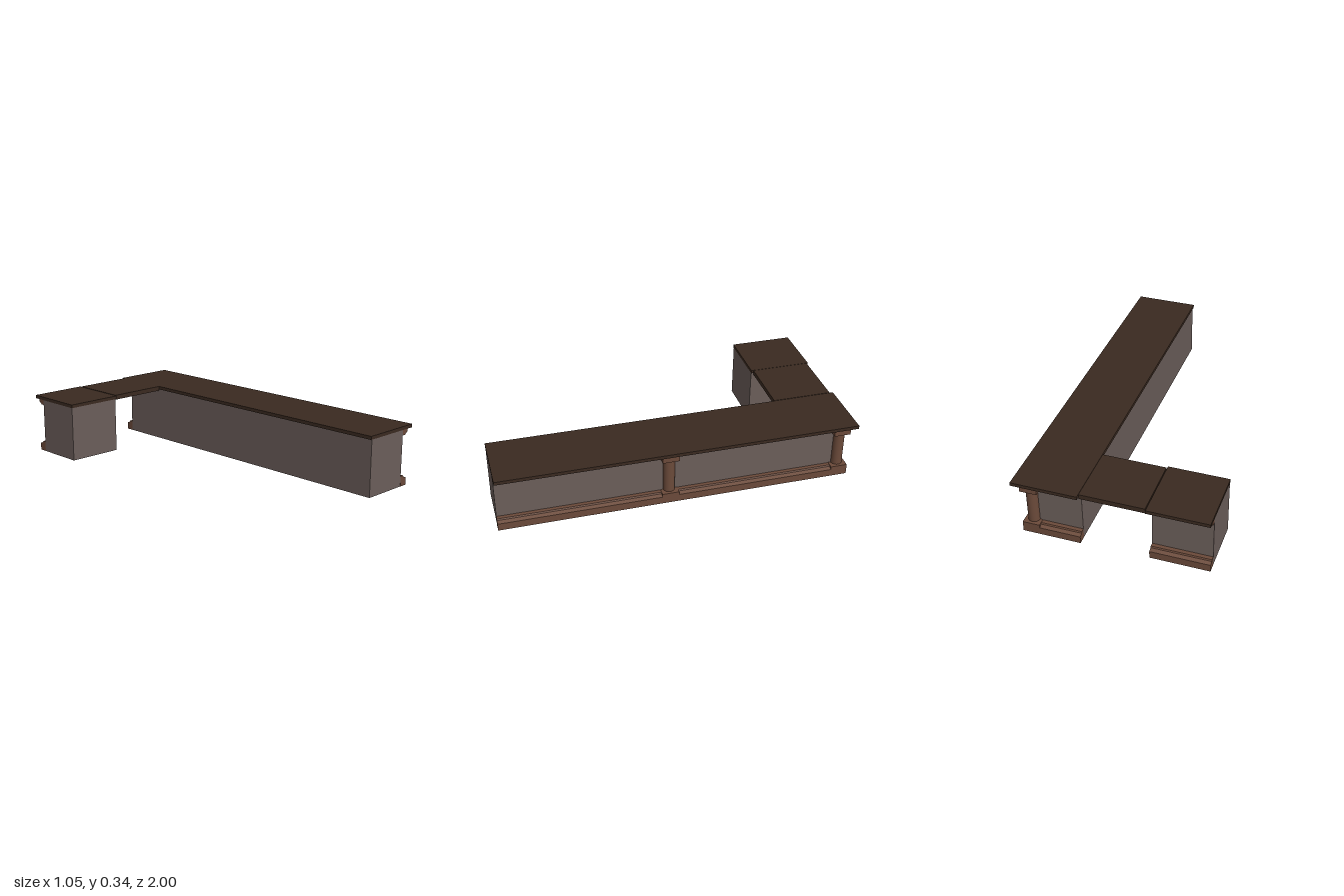
import * as THREE from 'three';

const material = (color, side = THREE.FrontSide) => new THREE.MeshStandardMaterial({ color, side });
const topWood = material(0x3a2a20);
const trimWood = material(0x6b4a3a);
const panel = material(0x6b5e5a, THREE.DoubleSide);

// Trim profiles: x is the distance out from the wall, y is height
const baseProfile = [[0, 0], [0.047, 0], [0.047, 0.042], [0.026, 0.05], [0.022, 0.058], [0, 0.058]];
const crownProfile = [[0, 0.288], [0.02, 0.288], [0.042, 0.305], [0.042, 0.318], [0, 0.318]];

export function createModel() {
  const root = new THREE.Group();

  const add = (parent, name, geometry, mat) => {
    const mesh = new THREE.Mesh(geometry, mat);
    mesh.name = name;
    parent.add(mesh);
    return mesh;
  };

  // Box given by its limits on each axis
  const box = (parent, name, mat, [x0, x1], [y0, y1], [z0, z1]) => {
    const g = new THREE.BoxGeometry(x1 - x0, y1 - y0, z1 - z0);
    g.translate((x0 + x1) / 2, (y0 + y1) / 2, (z0 + z1) / 2);
    return add(parent, name, g, mat);
  };

  // Four thin walls, open above and below
  const walls = (parent, name, xs, zs) => {
    const mesh = box(parent, name, panel, xs, [0, 0.318], zs);
    const g = mesh.geometry;
    const index = Array.from(g.index.array);
    g.setIndex([...index.slice(0, 12), ...index.slice(24)]);
    g.clearGroups();
  };

  // Base and crown moulding along one wall, facing +x before turning
  const mouldings = (parent, name, length, x, z, turn) => {
    for (const [part, profile] of [['Base', baseProfile], ['Crown', crownProfile]]) {
      const shape = new THREE.Shape(profile.map(([px, py]) => new THREE.Vector2(px, py)));
      const g = new THREE.ExtrudeGeometry(shape, { depth: length, bevelEnabled: false });
      const mesh = add(parent, name + part + 'Moulding', g, trimWood);
      mesh.position.set(x, 0, z);
      mesh.rotation.y = turn;
    }
  };

  // Column with square plinth and capital
  const column = (parent, name, x, z) => {
    const group = new THREE.Group();
    group.name = name;
    group.position.set(x, 0, z);
    const r = 0.047;
    box(group, 'plinth', trimWood, [-r, r], [0, 0.06], [-r, r]);
    box(group, 'capital', trimWood, [-r, r], [0.265, 0.318], [-r, r]);
    const shaft = add(group, 'shaft', new THREE.CylinderGeometry(0.032, 0.032, 0.205, 32, 1, true), trimWood);
    shaft.position.y = 0.1625;
    parent.add(group);
  };

  // Long counter
  const long = new THREE.Group();
  long.name = 'longCounter';
  const wallX = 0.444, wallZ = -0.924;
  walls(long, 'longCabinet', [0.17, wallX], [wallZ, 0.999]);
  box(long, 'longCountertop', topWood, [0.162, 0.525], [0.318, 0.337], [-1, 1]);
  mouldings(long, 'side', 1 - wallZ, wallX, wallZ, 0);
  mouldings(long, 'end', wallX - 0.17, 0.17, wallZ, Math.PI / 2);
  column(long, 'cornerColumn', wallX, wallZ);
  column(long, 'middleColumn', wallX, 0.058);
  root.add(long);

  // Short counter
  const short = new THREE.Group();
  short.name = 'shortCounter';
  walls(short, 'shortCabinet', [-0.525, -0.202], [-0.915, -0.632]);
  box(short, 'shortCountertop', topWood, [-0.527, -0.194], [0.318, 0.337], [-0.99, -0.63]);
  mouldings(short, 'back', 0.323, -0.525, -0.915, Math.PI / 2);
  root.add(short);

  // Lift-up flap bridging the two counters
  box(root, 'flap', topWood, [-0.19, 0.16], [0.311, 0.338], [-0.98, -0.642]);

  return root;
}
